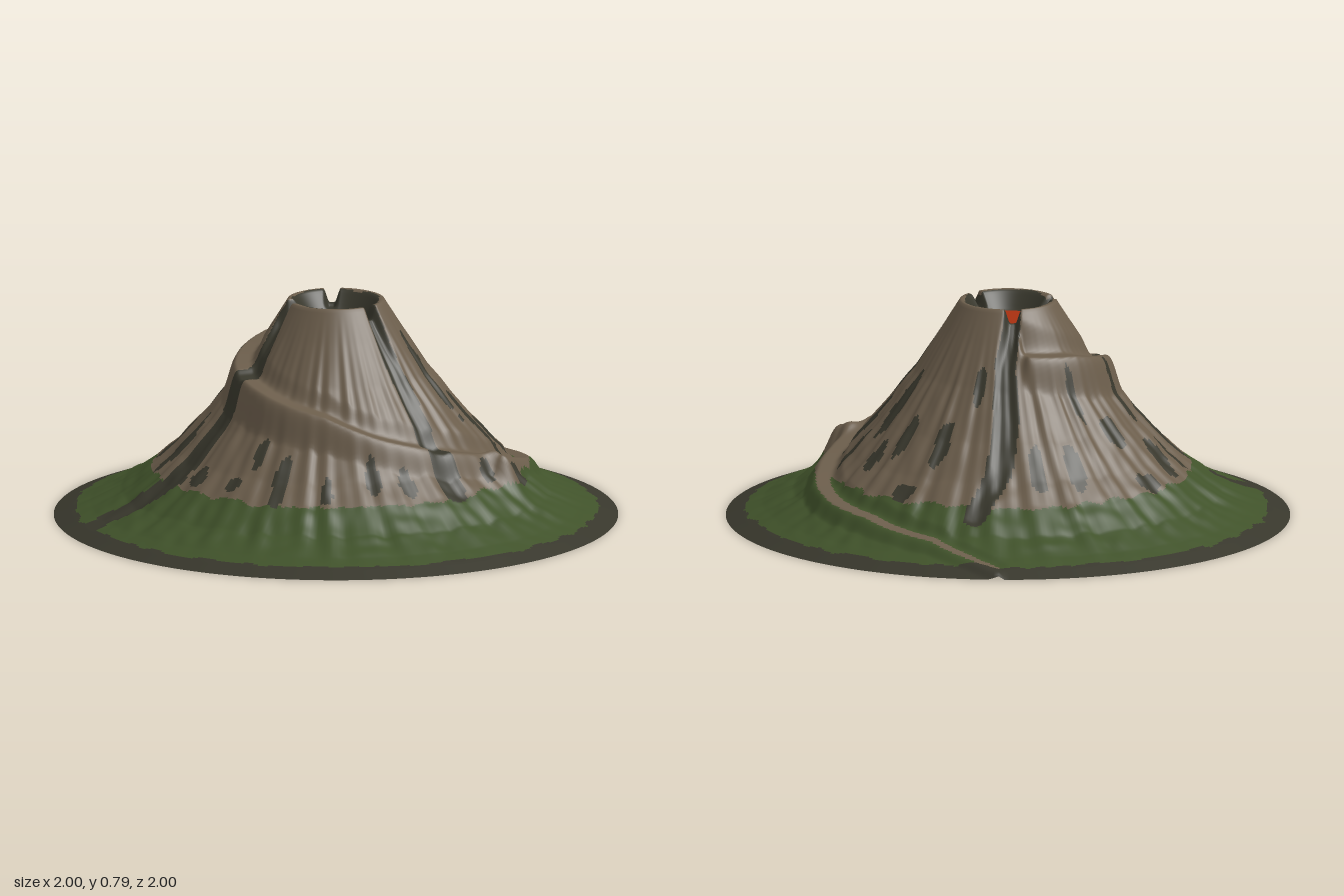
import * as THREE from 'three';

const SIDES = 320, ROWS = 145, R0 = 0.09;
const DEG = Math.PI / 180;

// Mountain height by radius
const PROFILE = [[0.09, 0.715], [0.105, 0.722], [0.15, 0.785], [0.17, 0.788], [0.2, 0.74], [0.24, 0.675],
  [0.33, 0.535], [0.46, 0.37], [0.57, 0.25], [0.65, 0.18], [0.76, 0.1], [0.87, 0.05], [0.94, 0.025], [1, 0.002]];
// Spiral road radius and lift by angle in degrees, from +x towards +z
const ROAD = [[-40, 0.96], [-33, 0.885], [-22, 0.80], [0, 0.738], [15, 0.72], [30, 0.69], [50, 0.625], [70, 0.56], [90, 0.52],
  [115, 0.475], [143, 0.415], [172, 0.385], [205, 0.35], [232, 0.325], [270, 0.295], [310, 0.26]];
const LIFT = [[-40, 0.006], [0, 0.01], [50, 0.012], [90, 0.012], [140, 0.03], [180, 0.042], [270, 0.04], [310, 0]];
// Old lava streams as x, z, half width
const STREAMS = [
  [[0, 0.1, 0.02], [-0.01, 0.2, 0.03], [-0.02, 0.32, 0.036], [-0.03, 0.45, 0.035], [-0.05, 0.55, 0.045], [-0.06, 0.61, 0.055]],
  [[0.07, -0.09, 0.025], [0.14, -0.14, 0.03], [0.22, -0.18, 0.038], [0.31, -0.26, 0.045], [0.42, -0.33, 0.042], [0.58, -0.355, 0.042]],
  [[-0.09, -0.07, 0.025], [-0.16, -0.11, 0.035], [-0.3, -0.125, 0.04], [-0.45, -0.19, 0.05], [-0.58, -0.24, 0.055],
    [-0.67, -0.34, 0.05], [-0.75, -0.42, 0.05], [-0.9, -0.45, 0.055]],
];
// Dark outcrops as x, z, radial half length, half width
const PATCHES = [
  [-0.05, -0.62, 0.032, 0.05], [-0.22, -0.53, 0.065, 0.036], [-0.32, -0.48, 0.07, 0.03], [-0.03, -0.46, 0.045, 0.05],
  [0.21, -0.5, 0.075, 0.03], [0.33, -0.43, 0.065, 0.032], [-0.43, -0.35, 0.1, 0.03], [-0.2, -0.36, 0.065, 0.025],
  [0.06, -0.37, 0.05, 0.02], [0.3, -0.13, 0.05, 0.02], [0.47, -0.1, 0.06, 0.03], [0.62, -0.05, 0.03, 0.045],
  [0.47, 0.07, 0.07, 0.022], [0.36, 0.2, 0.085, 0.03], [0.16, 0.3, 0.11, 0.025], [0.31, 0.37, 0.1, 0.03],
  [0.44, 0.34, 0.06, 0.028], [0.52, 0.17, 0.05, 0.028], [0.32, 0.58, 0.03, 0.032], [0.14, 0.6, 0.03, 0.03],
  [-0.22, 0.54, 0.04, 0.032], [-0.32, 0.47, 0.05, 0.026], [-0.47, 0.38, 0.045, 0.022], [-0.54, 0.22, 0.08, 0.026],
  [-0.5, 0.09, 0.045, 0.02], [-0.6, 0.05, 0.025, 0.03], [-0.59, -0.12, 0.035, 0.035],
];

function sample(table, x) {
  if (x <= table[0][0]) return table[0][1];
  for (let i = 1; i < table.length; i++) {
    const [x0, y0] = table[i - 1], [x1, y1] = table[i];
    if (x <= x1) return y0 + (y1 - y0) * (x - x0) / (x1 - x0);
  }
  return table[table.length - 1][1];
}
const smooth = (x, a, b) => THREE.MathUtils.smoothstep(x, a, b);
const wobble = (x, z) => 0.5 * Math.sin(41 * x + 3 * Math.sin(19 * z)) + 0.5 * Math.sin(37 * z + 2 * Math.sin(23 * x));

// Distance to the nearest stream, as a share of its half width
function streamShare(x, z) {
  let best = 99;
  for (const path of STREAMS) {
    for (let i = 1; i < path.length; i++) {
      const [ax, az, aw] = path[i - 1], [bx, bz, bw] = path[i];
      const dx = bx - ax, dz = bz - az;
      const t = THREE.MathUtils.clamp(((x - ax) * dx + (z - az) * dz) / (dx * dx + dz * dz), 0, 1);
      best = Math.min(best, Math.hypot(x - ax - t * dx, z - az - t * dz) / (aw + (bw - aw) * t));
    }
  }
  return best;
}

function inPatch(x, z) {
  return PATCHES.some(([px, pz, length, width]) => {
    const r = Math.hypot(px, pz), ux = px / r, uz = pz / r;
    const along = ((x - px) * ux + (z - pz) * uz) / length;
    const across = ((z - pz) * ux - (x - px) * uz) / width;
    return along * along + across * across < 1 + 0.35 * wobble(x * 1.6, z * 1.6);
  });
}

function roadAt(angle) {
  let deg = angle / DEG;
  deg = ((deg + 40) % 360 + 360) % 360 - 40;
  return { radius: deg > 310 ? -1 : sample(ROAD, deg), lift: sample(LIFT, deg) };
}

function height(r, angle) {
  const x = r * Math.cos(angle), z = r * Math.sin(angle);
  let y = sample(PROFILE, r);
  // Erosion ridges
  const rough = smooth(r, 0.17, 0.4) * (1 - smooth(r, 0.75, 0.95));
  y += rough * (0.005 * Math.sin(31 * angle + 2 * Math.sin(5 * angle) + 3 * r)
    + 0.003 * Math.sin(57 * angle + 9 * r) + 0.003 * wobble(x * 1.3, z * 1.3));
  // Levelled road shelf
  const road = roadAt(angle);
  if (road.radius > 0) {
    const blend = 1 - smooth(Math.abs(r - road.radius), 0.02, 0.075);
    y += (sample(PROFILE, road.radius) + road.lift - y) * blend * smooth(road.lift, 0, 0.006);
  }
  // Stream channels, deepest at the crater lip
  const depth = 0.012 + 0.04 * (1 - smooth(r, 0.17, 0.32));
  y -= depth * (1 - smooth(streamShare(x, z), 0.3, 1.15)) * smooth(r, 0.1, 0.15) * (1 - smooth(r, 0.8, 0.95));
  // Small mound at the foot
  y += 0.085 * Math.exp(-((x - 0.22) ** 2 + (z - 0.61) ** 2) / 0.0022);
  return Math.max(y, 0);
}

function surfaceAt(r, angle, y) {
  const x = r * Math.cos(angle), z = r * Math.sin(angle), w = wobble(x, z);
  if (r < 0.155 + 0.008 * w) return 'craterWall';
  if (r > 0.925 + 0.01 * w) return 'baseRim';
  const road = roadAt(angle);
  if (r > 0.6 && Math.abs(r - road.radius) < 0.027) return 'rockSlope';
  if (streamShare(x, z) < 1 + 0.12 * w) return 'lavaStreams';
  if (inPatch(x, z)) return 'darkOutcrops';
  return y > 0.18 + 0.008 * w ? 'rockSlope' : 'grassSkirt';
}

export function createModel() {
  const paint = (name, color) => {
    const material = new THREE.MeshStandardMaterial({ color, side: THREE.DoubleSide });
    material.name = name;
    return material;
  };
  const rock = paint('brown rock', 0x6b5d4b);
  const grass = paint('dark grass', 0x40522a);
  const basalt = paint('dark basalt', 0x38372c);
  const lava = paint('glowing lava', 0xa83010);

  // Shared polar grid of the whole mountain
  const positions = [];
  for (let i = 0; i <= ROWS; i++) {
    const r = R0 + (1 - R0) * i / ROWS;
    for (let j = 0; j < SIDES; j++) {
      const angle = j / SIDES * Math.PI * 2;
      positions.push(r * Math.cos(angle), height(r, angle), r * Math.sin(angle));
    }
  }

  // Sort the grid cells into parts
  const parts = { craterWall: [], rockSlope: [], lavaStreams: [], darkOutcrops: [], grassSkirt: [], baseRim: [] };
  const all = [];
  for (let i = 0; i < ROWS; i++) {
    for (let j = 0; j < SIDES; j++) {
      const a = i * SIDES + j, b = a + SIDES;
      const c = i * SIDES + (j + 1) % SIDES, d = c + SIDES;
      const r = R0 + (1 - R0) * (i + 0.5) / ROWS, angle = (j + 0.5) / SIDES * Math.PI * 2;
      const y = (positions[a * 3 + 1] + positions[d * 3 + 1]) / 2;
      const cell = [a, c, b, c, d, b];
      parts[surfaceAt(r, angle, y)].push(...cell);
      all.push(...cell);
    }
  }
  const terrain = new THREE.BufferGeometry();
  terrain.setAttribute('position', new THREE.Float32BufferAttribute(positions, 3));
  terrain.setIndex(all);
  terrain.computeVertexNormals();

  const model = new THREE.Group();
  model.name = 'volcano';
  const materials = { rockSlope: rock, grassSkirt: grass };
  for (const [name, index] of Object.entries(parts)) {
    const geometry = new THREE.BufferGeometry();
    geometry.setAttribute('position', terrain.attributes.position);
    geometry.setAttribute('normal', terrain.attributes.normal);
    geometry.setIndex(index);
    const mesh = new THREE.Mesh(geometry, materials[name] || basalt);
    mesh.name = name;
    model.add(mesh);
  }

  // Lava pool in the crater
  const pool = new THREE.Mesh(new THREE.CircleGeometry(0.1, 48).rotateX(-Math.PI / 2), lava);
  pool.position.y = 0.722;
  pool.name = 'lavaPool';
  model.add(pool);
  return model;
}
